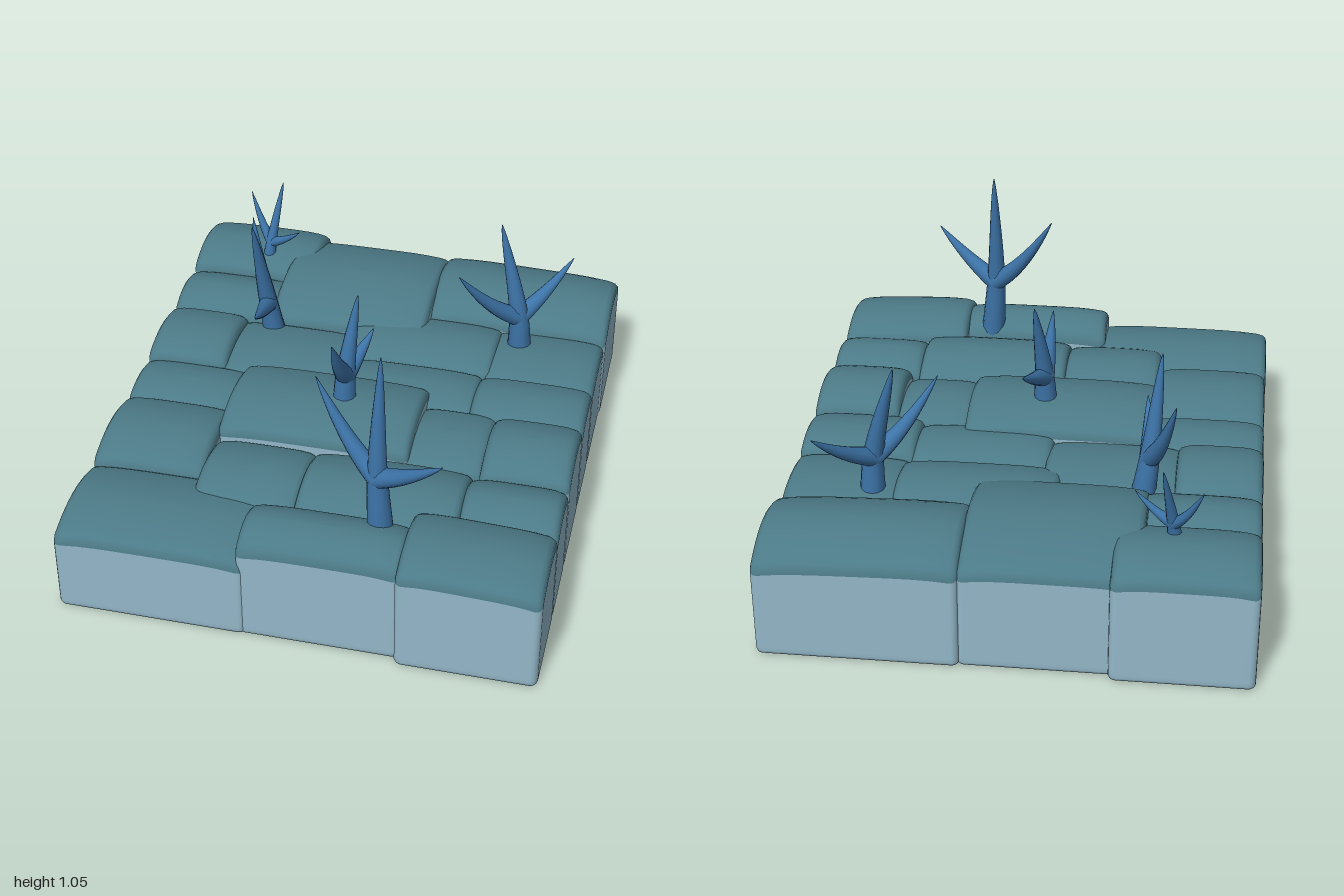
import * as THREE from 'three';

const sideMat = new THREE.MeshStandardMaterial({ color: 0x93b7c8 });
const topMat = new THREE.MeshStandardMaterial({ color: 0x4c7a87 });
const coralMat = new THREE.MeshStandardMaterial({ color: 0x3d74a8 });

// Stone blocks: x0, x1, z0, z1, edge height, arch rise along z, slope along x
const BLOCKS = [
  [-0.84, -0.35, -1.0, -0.65, 0.40, 0.05, 0],
  [-0.45, 0.16, -0.97, -0.38, 0.38, 0.07, 0],
  [0.15, 0.845, -0.98, -0.54, 0.37, 0.07, -0.01],
  [-0.84, -0.42, -0.67, -0.38, 0.36, 0.05, 0],
  [-0.13, 0.45, -0.56, -0.23, 0.35, 0.04, 0],
  [0.42, 0.84, -0.56, -0.21, 0.34, 0.03, 0],
  [-0.84, -0.53, -0.39, -0.05, 0.37, 0.04, 0],
  [-0.55, -0.06, -0.39, -0.04, 0.35, 0.03, 0],
  [-0.08, 0.43, -0.24, 0.03, 0.35, 0.03, 0],
  [0.415, 0.84, -0.225, 0.06, 0.355, 0.035, 0],
  [-0.44, 0.26, -0.06, 0.36, 0.39, 0.05, 0],
  [-0.84, -0.42, -0.07, 0.19, 0.34, 0.03, 0],
  [0.24, 0.53, 0.01, 0.37, 0.35, 0.04, 0],
  [0.52, 0.84, 0.045, 0.395, 0.375, 0.055, 0],
  [-0.84, -0.43, 0.175, 0.575, 0.34, 0.05, 0],
  [-0.435, -0.06, 0.35, 0.72, 0.34, 0.05, 0],
  [-0.07, 0.5, 0.355, 0.73, 0.35, 0.06, 0],
  [0.49, 0.84, 0.38, 0.67, 0.35, 0.055, 0],
  [-0.845, -0.17, 0.56, 0.975, 0.315, 0.045, 0],
  [-0.2, 0.365, 0.715, 0.97, 0.38, 0.05, 0],
  [0.35, 0.84, 0.645, 1.0, 0.385, 0.045, -0.01],
];

// Rounded rectangle as [x, z] points with subdivided straight edges
function outline(a, b, r) {
  const pts = [];
  const signs = [[1, 1], [-1, 1], [-1, -1], [1, -1]];
  const arc = (q, t) => {
    const ang = (q + t) * Math.PI / 2, [sx, sz] = signs[q % 4];
    return [sx * (a - r) + r * Math.cos(ang), sz * (b - r) + r * Math.sin(ang)];
  };
  for (let q = 0; q < 4; q++) {
    for (let i = 0; i <= 4; i++) pts.push(arc(q, i / 4));
    const s = arc(q, 1), e = arc((q + 1) % 4, 0);
    for (let i = 1; i < 10; i++) pts.push([0, 1].map(k => s[k] + (e[k] - s[k]) * i / 10));
  }
  return pts;
}

// Skin a stack of rings, each an array of [x, y, z]
function loft(rings) {
  const n = rings[0].length, index = [];
  for (let j = 0; j < rings.length - 1; j++) {
    for (let i = 0; i < n; i++) {
      const l = j * n + i, l1 = j * n + (i + 1) % n;
      index.push(l, l + n, l1, l1, l + n, l1 + n);
    }
  }
  const geo = new THREE.BufferGeometry();
  geo.setAttribute('position', new THREE.Float32BufferAttribute(rings.flat(2), 3));
  geo.setIndex(index);
  geo.computeVertexNormals();
  return geo;
}

function addMesh(parent, geo, mat, name) {
  const mesh = new THREE.Mesh(geo, mat);
  mesh.name = name;
  parent.add(mesh);
}

// One block: straight pale sides and a darker arched cap
function stoneBlock([x0, x1, z0, z1, edge, rise, slope]) {
  const a = (x1 - x0) / 2, b = (z1 - z0) / 2;
  const height = (x, z) => edge + slope * x / a
    + rise * (1 - (z / b) ** 2) - 0.015 * (x / a) ** 4;
  const flatRing = (inset, y, k = 1) =>
    outline(a - inset, b - inset, 0.025).map(([x, z]) => [x * k, y, z * k]);
  const topRing = (inset, drop, k = 1) =>
    outline(a - inset, b - inset, 0.025).map(([x, z]) => [x * k, height(x * k, z * k) - drop, z * k]);

  const block = new THREE.Group();
  block.name = 'stoneBlock';
  addMesh(block, loft([
    flatRing(0.02, 0, 0), flatRing(0.02, 0), flatRing(0.012, 0), flatRing(0.003, 0.004),
    flatRing(0, 0.014), flatRing(0, 0.03), topRing(0, 0.03),
  ]), sideMat, 'blockSides');
  addMesh(block, loft([
    topRing(0, 0.03), topRing(0.003, 0.014), topRing(0.012, 0.004), topRing(0.025, 0),
    ...[0.85, 0.68, 0.5, 0.34, 0.17, 0].map(k => topRing(0.025, 0, k)),
  ]), topMat, 'blockTop');
  block.position.set((x0 + x1) / 2, 0, (z0 + z1) / 2);
  return block;
}

// Tube narrowing to a point along a curve
function taperedTube(curve, radius, power) {
  const segs = 20, sides = 12;
  const geo = new THREE.TubeGeometry(curve, segs, radius, sides, false);
  const pos = geo.attributes.position, v = new THREE.Vector3();
  for (let i = 0; i < pos.count; i++) {
    const t = Math.floor(i / (sides + 1)) / segs, c = curve.getPointAt(t);
    v.fromBufferAttribute(pos, i).sub(c).multiplyScalar(Math.max(0.03, (1 - t) ** power)).add(c);
    pos.setXYZ(i, v.x, v.y, v.z);
  }
  return geo;
}

// Corals: base, fork, main tip, side branch tips, trunk radius
const CORALS = [
  { base: [0.255, 0.36, 0.765], fork: [0.24, 0.62, 0.755], tip: [0.24, 1.05, 0.715],
    arms: [[0.01, 0.9, 0.66], [0.48, 0.77, 0.875]], r: 0.047 },
  { base: [-0.025, 0.38, 0.13], fork: [-0.02, 0.54, 0.12], tip: [0.01, 0.83, 0.06],
    arms: [[-0.04, 0.73, 0.25], [0.04, 0.61, -0.065]], r: 0.046 },
  { base: [0.525, 0.34, -0.45], fork: [0.515, 0.5, -0.45], tip: [0.43, 0.855, -0.49],
    arms: [[0.31, 0.73, -0.29], [0.69, 0.65, -0.645]], r: 0.046 },
  { base: [-0.42, 0.33, -0.355], fork: [-0.44, 0.49, -0.34], tip: [-0.47, 0.85, -0.265],
    arms: [[-0.53, 0.76, -0.48], [-0.415, 0.575, -0.075]], r: 0.044 },
  { base: [-0.55, 0.4, -0.745], fork: [-0.54, 0.49, -0.76], tip: [-0.505, 0.72, -0.83],
    arms: [[-0.64, 0.655, -0.84], [-0.41, 0.57, -0.71]], r: 0.026 },
];

function coral({ base, fork, tip, arms, r }) {
  const group = new THREE.Group();
  group.name = 'coral';
  const [b, f, t] = [base, fork, tip].map(p => new THREE.Vector3(...p));
  addMesh(group, taperedTube(new THREE.CatmullRomCurve3([b, f, t]), r, 0.65), coralMat, 'coralTrunk');
  arms.forEach((p, i) => {
    const end = new THREE.Vector3(...p);
    const start = f.clone().lerp(b, 0.1);
    // Branches leave low and sweep upward
    const bend = f.clone().lerp(end, 0.5);
    bend.y = f.y + (end.y - f.y) * 0.22;
    addMesh(group, taperedTube(new THREE.QuadraticBezierCurve3(start, bend, end), r * 0.82, 0.75),
      coralMat, 'coralBranch' + (i + 1));
  });
  return group;
}

export function createModel() {
  const model = new THREE.Group();
  model.name = 'stoneFloorWithCoral';
  BLOCKS.forEach(spec => model.add(stoneBlock(spec)));
  CORALS.forEach(spec => model.add(coral(spec)));
  return model;
}
